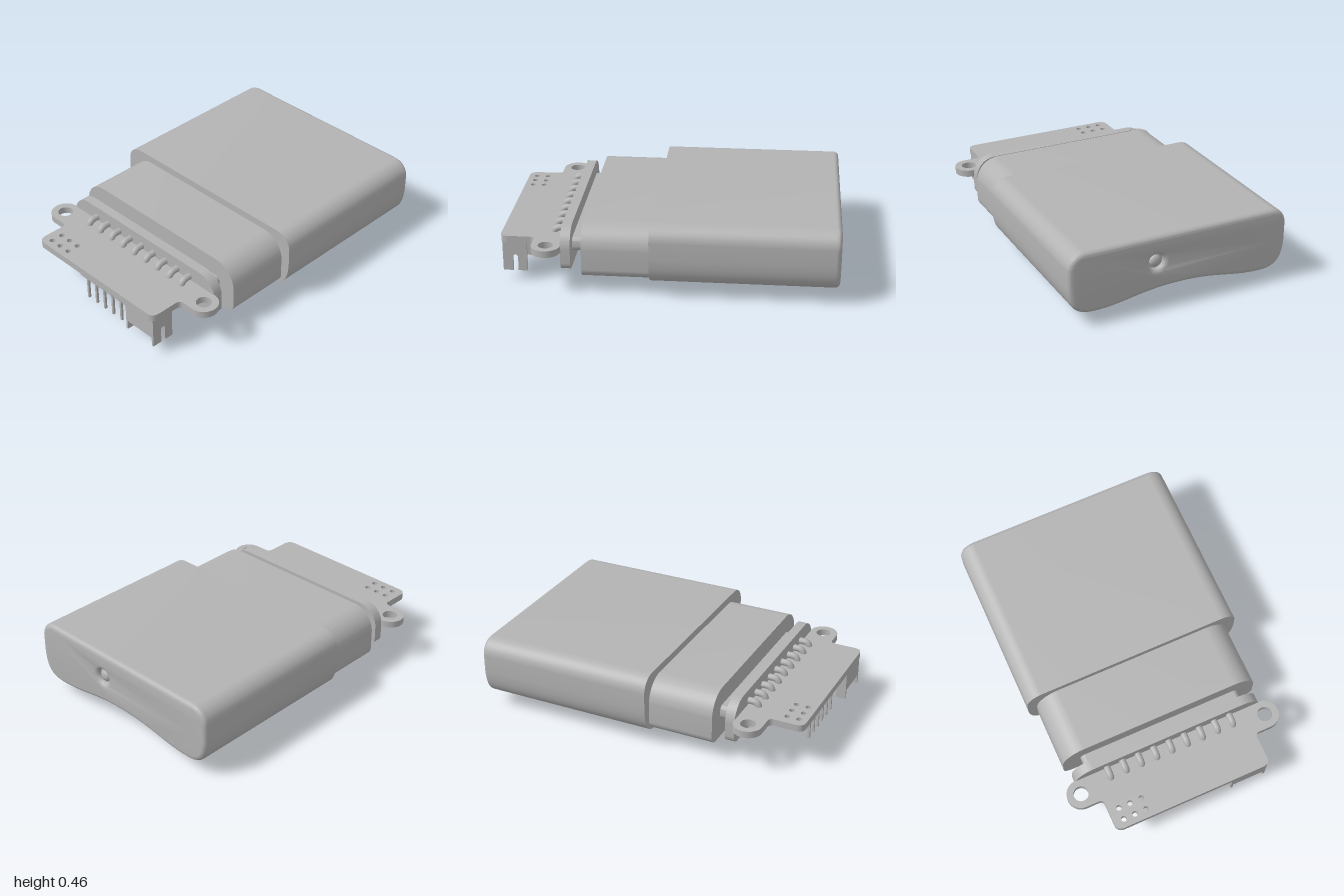
import * as THREE from 'three';
import { toCreasedNormals } from 'three/addons/utils/BufferGeometryUtils.js';

const grey = new THREE.MeshStandardMaterial({ color: 0xb3b3b3 });
grey.name = 'plain grey';

export function createModel() {
  const model = new THREE.Group();
  model.name = 'connectorAssembly';

  const add = (name, geo, x = 0, y = 0, z = 0) => {
    const mesh = new THREE.Mesh(geo, grey);
    mesh.name = name;
    mesh.position.set(x, y, z);
    model.add(mesh);
    return mesh;
  };
  const box = (name, w, h, d, x, y, z) => add(name, new THREE.BoxGeometry(w, h, d), x, y, z);
  const extrude = (shape, depth, options = {}) => toCreasedNormals(
    new THREE.ExtrudeGeometry(shape, { depth, bevelEnabled: false, curveSegments: 14, ...options }), 0.6);
  const hole = (shape, x, y, r) => shape.holes.push(new THREE.Path().absarc(x, y, r, 0, Math.PI * 2, true));

  // Housing outline: square shoulders, bulging lower lobes, arched underside
  const housingShape = () => {
    const s = new THREE.Shape();
    s.moveTo(0, 0.135);
    s.bezierCurveTo(0.25, 0.135, 0.34, 0.08, 0.53, 0.08);
    s.bezierCurveTo(0.65, 0.08, 0.685, 0.14, 0.69, 0.26);
    s.lineTo(0.69, 0.36);
    s.absarc(0.59, 0.36, 0.1, 0, Math.PI / 2, false);
    s.lineTo(-0.59, 0.46);
    s.absarc(-0.59, 0.36, 0.1, Math.PI / 2, Math.PI, false);
    s.lineTo(-0.69, 0.26);
    s.bezierCurveTo(-0.685, 0.14, -0.65, 0.08, -0.53, 0.08);
    s.bezierCurveTo(-0.34, 0.08, -0.25, 0.135, 0, 0.135);
    return s;
  };
  add('housing', extrude(housingShape(), 1.068), 0, 0, -0.97);

  // Rounded rear end with a recessed domed button
  const endShape = housingShape();
  hole(endShape, 0.15, 0.3, 0.045);
  add('housingRearEnd', extrude(endShape, 0.001, {
    bevelEnabled: true, bevelThickness: 0.03, bevelSize: 0.03, bevelOffset: -0.03, bevelSegments: 5,
  }), 0, 0, -0.97);
  const dome = add('rearButton', new THREE.SphereGeometry(0.036, 20, 12), 0.15, 0.3, -0.97);
  dome.scale.z = 0.6;

  // D-shaped sleeve and flange, with large top corners and small bottom ones
  const dShape = (w, y0, y1, rTop, rBottom) => {
    const s = new THREE.Shape();
    s.absarc(w - rBottom, y0 + rBottom, rBottom, -Math.PI / 2, 0, false);
    s.absarc(w - rTop, y1 - rTop, rTop, 0, Math.PI / 2, false);
    s.absarc(rTop - w, y1 - rTop, rTop, Math.PI / 2, Math.PI, false);
    s.absarc(rBottom - w, y0 + rBottom, rBottom, Math.PI, Math.PI * 1.5, false);
    s.closePath();
    return s;
  };
  add('sleeve', extrude(dShape(0.632, 0.1, 0.415, 0.145, 0.055), 0.41), 0, 0, 0.088);
  add('flange', extrude(dShape(0.605, 0.13, 0.385, 0.125, 0.045), 0.058), 0, 0, 0.567);
  add('neck', extrude(dShape(0.518, 0.215, 0.3, 0.03, 0.03), 0.08), 0, 0, 0.492);

  // Circuit board with two mounting ears, drawn in plan
  const plan = new THREE.Shape();
  plan.moveTo(-0.605, 0.622);
  plan.lineTo(0.605, 0.622);
  plan.absarc(0.605, 0.708, 0.086, -Math.PI / 2, Math.PI / 2, false);
  plan.lineTo(0.53, 0.794);
  plan.quadraticCurveTo(0.5, 0.794, 0.5, 0.824);
  plan.lineTo(0.5, 0.95);
  plan.quadraticCurveTo(0.5, 1, 0.45, 1);
  plan.lineTo(-0.45, 1);
  plan.quadraticCurveTo(-0.5, 1, -0.5, 0.95);
  plan.lineTo(-0.5, 0.824);
  plan.quadraticCurveTo(-0.5, 0.794, -0.53, 0.794);
  plan.lineTo(-0.605, 0.794);
  plan.absarc(-0.605, 0.708, 0.086, Math.PI / 2, Math.PI * 1.5, false);
  for (const x of [-0.605, 0.605]) hole(plan, x, 0.708, 0.045);
  for (const x of [-0.435, -0.363, -0.29]) for (const z of [0.877, 0.949]) hole(plan, x, z, 0.017);
  add('circuitBoard', extrude(plan, 0.042).rotateX(Math.PI / 2), 0, 0.291, 0);

  // Row of bent contacts leaving the flange and turning into the board
  const bend = new THREE.CurvePath();
  bend.add(new THREE.LineCurve3(new THREE.Vector3(0, 0.315, 0.6), new THREE.Vector3(0, 0.315, 0.655)));
  bend.add(new THREE.QuadraticBezierCurve3(new THREE.Vector3(0, 0.315, 0.655),
    new THREE.Vector3(0, 0.315, 0.688), new THREE.Vector3(0, 0.275, 0.69)));
  const contactGeo = new THREE.TubeGeometry(bend, 14, 0.02, 12);
  for (let i = -4; i <= 4; i++) add('contact', contactGeo, i * 0.1005);

  // Pin header: chamfered blocks with a thin pin through each
  const block = new THREE.Shape();
  const h = 0.0363, c = 0.011;
  [[-h + c, -h], [h - c, -h], [h, -h + c], [h, h - c], [h - c, h], [-h + c, h], [-h, h - c], [-h, -h + c]]
    .forEach(([x, y], i) => (i ? block.lineTo(x, y) : block.moveTo(x, y)));
  const blockGeo = extrude(block, 0.075).rotateX(Math.PI / 2);
  for (let i = 0; i < 6; i++) {
    const x = -0.16 + i * 0.0727;
    add('headerBlock', blockGeo, x, 0.25, 0.915);
    box('headerPin', 0.014, 0.19, 0.014, x, 0.095, 0.915);
  }

  // Bracket: front plate between two slotted side plates
  const side = new THREE.Shape();
  side.moveTo(0.845, 0.062);
  side.lineTo(0.9, 0.062);
  side.lineTo(0.9, 0.15);
  side.absarc(0.915, 0.15, 0.015, Math.PI, 0, true);
  side.lineTo(0.93, 0.062);
  side.lineTo(0.99, 0.062);
  side.lineTo(0.99, 0.25);
  side.lineTo(0.845, 0.25);
  side.closePath();
  const sideGeo = extrude(side, 0.014).rotateY(-Math.PI / 2);
  for (const x of [0.273, 0.487]) add('bracketSide', sideGeo, x);
  box('bracketFront', 0.202, 0.132, 0.014, 0.373, 0.185, 0.983);

  return model;
}
